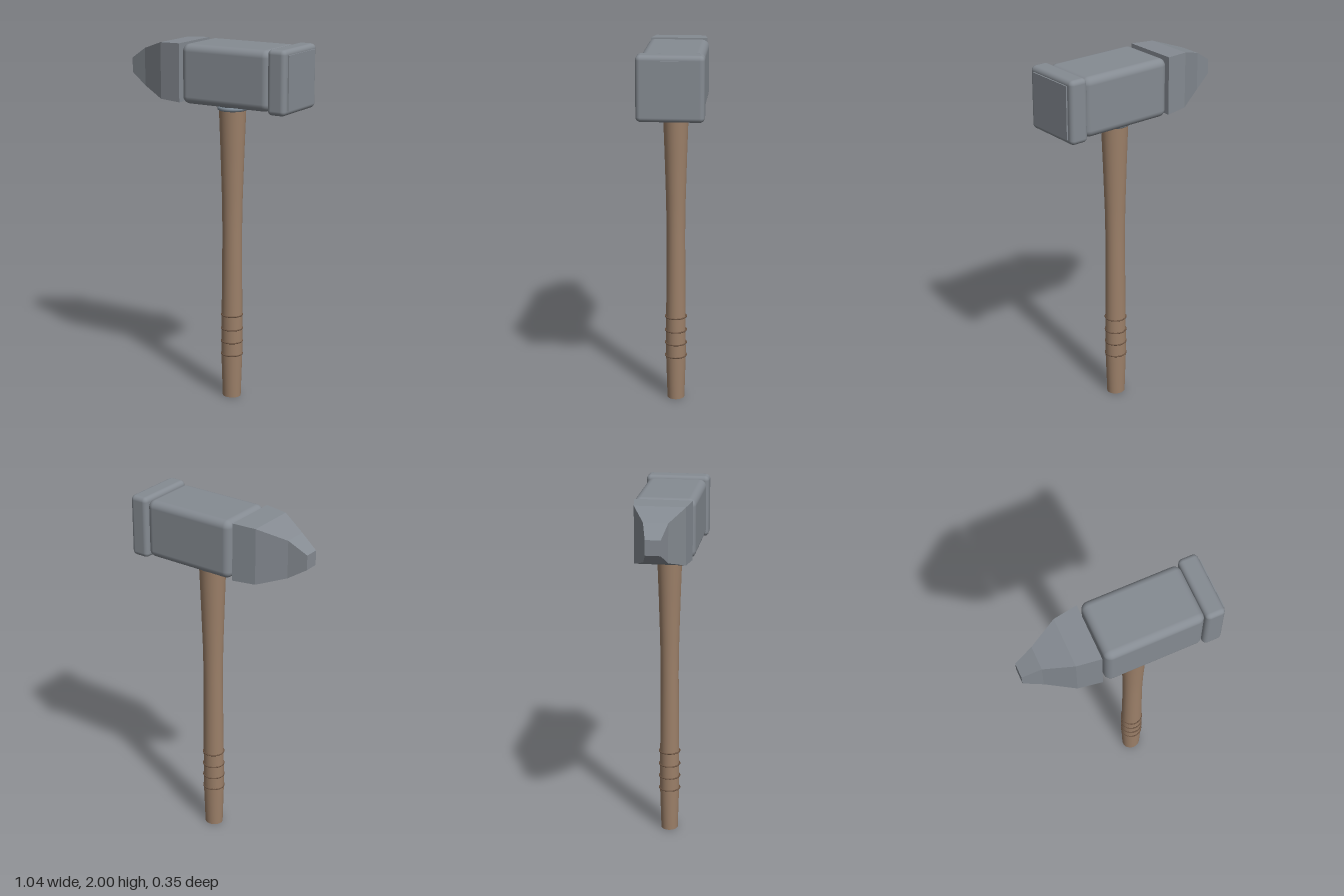
import * as THREE from 'three';
import { RoundedBoxGeometry } from 'three/addons/geometries/RoundedBoxGeometry.js';

const steel = new THREE.MeshStandardMaterial({ color: 0x858b92 });
steel.name = 'steel';
const collarSteel = new THREE.MeshStandardMaterial({ color: 0x7f8b96 });
collarSteel.name = 'collar steel';
const wood = new THREE.MeshStandardMaterial({ color: 0x9c8069 });
wood.name = 'wood';
const grooveBrown = new THREE.MeshStandardMaterial({ color: 0x6b5443 });
grooveBrown.name = 'dark wood';

const HANDLE_X = 0.1;
const HEAD_Y = 1.83;

// Tapered peen: rectangular sections [x, half height, half depth] joined by flat faces
function peenGeometry(sections) {
  const corners = sections.map(([x, h, d]) =>
    [[-h, -d], [-h, d], [h, d], [h, -d]].map(([y, z]) => [x, y, z]));
  const pos = [];
  const quad = (a, b, c, d) => pos.push(...a, ...b, ...c, ...a, ...c, ...d);
  for (let i = 0; i < corners.length - 1; i++) {
    for (let k = 0; k < 4; k++) {
      const n = (k + 1) % 4;
      quad(corners[i][k], corners[i + 1][k], corners[i + 1][n], corners[i][n]);
    }
  }
  const first = corners[0];
  const last = corners[corners.length - 1];
  quad(first[0], first[1], first[2], first[3]);
  quad(last[3], last[2], last[1], last[0]);
  const geo = new THREE.BufferGeometry();
  geo.setAttribute('position', new THREE.Float32BufferAttribute(pos, 3));
  geo.computeVertexNormals();
  return geo;
}

export function createModel() {
  const model = new THREE.Group();
  model.name = 'hammer';

  const add = (name, geometry, material, x, y, z = 0) => {
    const mesh = new THREE.Mesh(geometry, material);
    mesh.name = name;
    mesh.position.set(x, y, z);
    model.add(mesh);
    return mesh;
  };

  // Head block, striking cap and its raised face
  add('headBlock', new RoundedBoxGeometry(0.535, 0.32, 0.33, 4, 0.04), steel, 0.1425, HEAD_Y);
  add('strikingCap', new RoundedBoxGeometry(0.105, 0.34, 0.35, 4, 0.025), steel, 0.4575, HEAD_Y);
  add('strikingFace', new THREE.BoxGeometry(0.02, 0.285, 0.28), steel, 0.507, HEAD_Y);

  // Peen, set off from the block by a narrow gap
  add('peen', peenGeometry([
    [-0.52, 0.04, 0.04],
    [-0.42, 0.103, 0.064],
    [-0.27, 0.153, 0.135],
    [-0.14, 0.158, 0.154],
  ]), steel, 0, HEAD_Y + 0.002);

  // Turned handle, slightly oval, running up into the head
  const profile = [[0.052, 0], [0.06, 0.25], [0.059, 0.48], [0.055, 0.95],
    [0.058, 1.15], [0.066, 1.4], [0.075, 1.64], [0.075, 1.7]]
    .map(([r, y]) => new THREE.Vector2(r, y));
  add('handle', new THREE.LatheGeometry(profile, 24), wood, HANDLE_X, 0).scale.z = 0.92;
  const butt = add('handleButt', new THREE.CircleGeometry(0.052, 24), wood, HANDLE_X, 0);
  butt.rotation.x = Math.PI / 2;
  butt.scale.y = 0.92;

  // Horizontal rings: grip bands and the collar under the head
  const ring = (name, radius, tube, material, y) => {
    const geo = new THREE.TorusGeometry(radius, tube, 10, 32).rotateX(Math.PI / 2);
    add(name, geo, material, HANDLE_X, y);
  };
  [0.25, 0.325, 0.4, 0.48].forEach((y, i) => ring(`gripBand${i + 1}`, 0.058, 0.004, grooveBrown, y));
  ring('lowerCollar', 0.071, 0.012, collarSteel, 1.645);
  ring('upperCollar', 0.066, 0.012, collarSteel, 1.663);

  return model;
}
